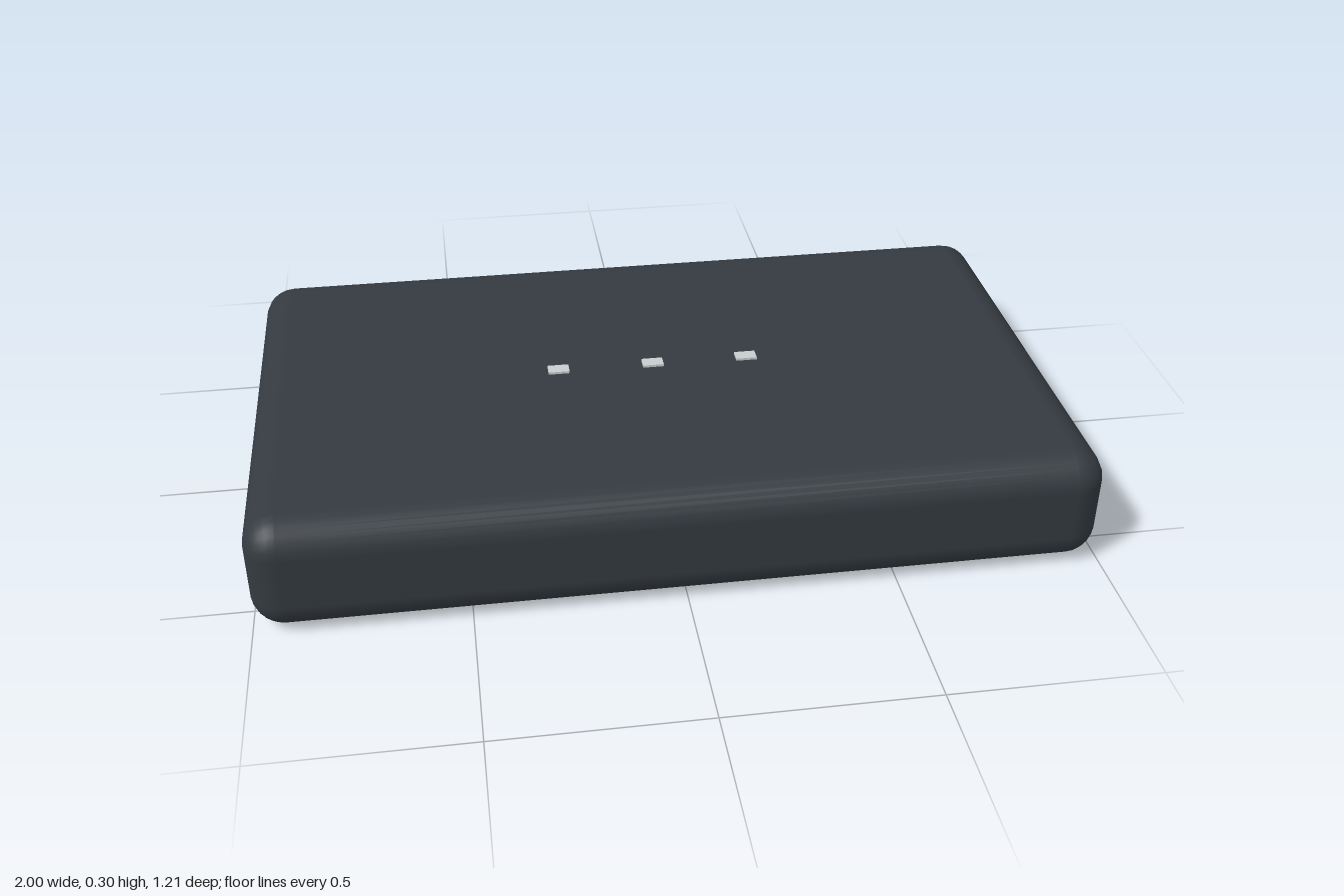
import * as THREE from 'three';
import { RoundedBoxGeometry } from 'three/addons/geometries/RoundedBoxGeometry.js';

const paint = (color) => new THREE.MeshStandardMaterial({ color });

export function createModel() {
  const model = new THREE.Group();
  model.name = 'slimBox';
  const shell = paint(0x343a40);
  const dark = paint(0x1c2024);
  const rubber = paint(0x14171a);
  const light = paint(0xc8cdd0);

  const add = (name, geometry, material, x, y, z) => {
    const mesh = new THREE.Mesh(geometry, material);
    mesh.name = name;
    mesh.position.set(x, y, z);
    model.add(mesh);
  };

  // Rounded casing
  add('casing', new RoundedBoxGeometry(2, 0.288, 1.195, 3, 0.08), shell, 0, 0.146, 0.008);

  // Connector strip low on the back
  add('connectorStrip', new RoundedBoxGeometry(0.72, 0.052, 0.05, 2, 0.008), dark, 0, 0.073, -0.579);

  for (const i of [-1, 0, 1]) {
    // Status lights across the top
    add('statusLight', new THREE.BoxGeometry(0.053, 0.012, 0.034), light, i * 0.24, 0.29, 0.008);
    // Slots in the connector strip
    add('portSlot', new THREE.BoxGeometry(0.095, 0.014, 0.01), light, i * 0.19, 0.073, -0.6);
  }

  // Flat feet under both ends
  for (const side of [-1, 1]) {
    add('footPad', new THREE.BoxGeometry(0.21, 0.012, 0.54), rubber, side * 0.685, 0.006, 0.008);
  }
  return model;
}
